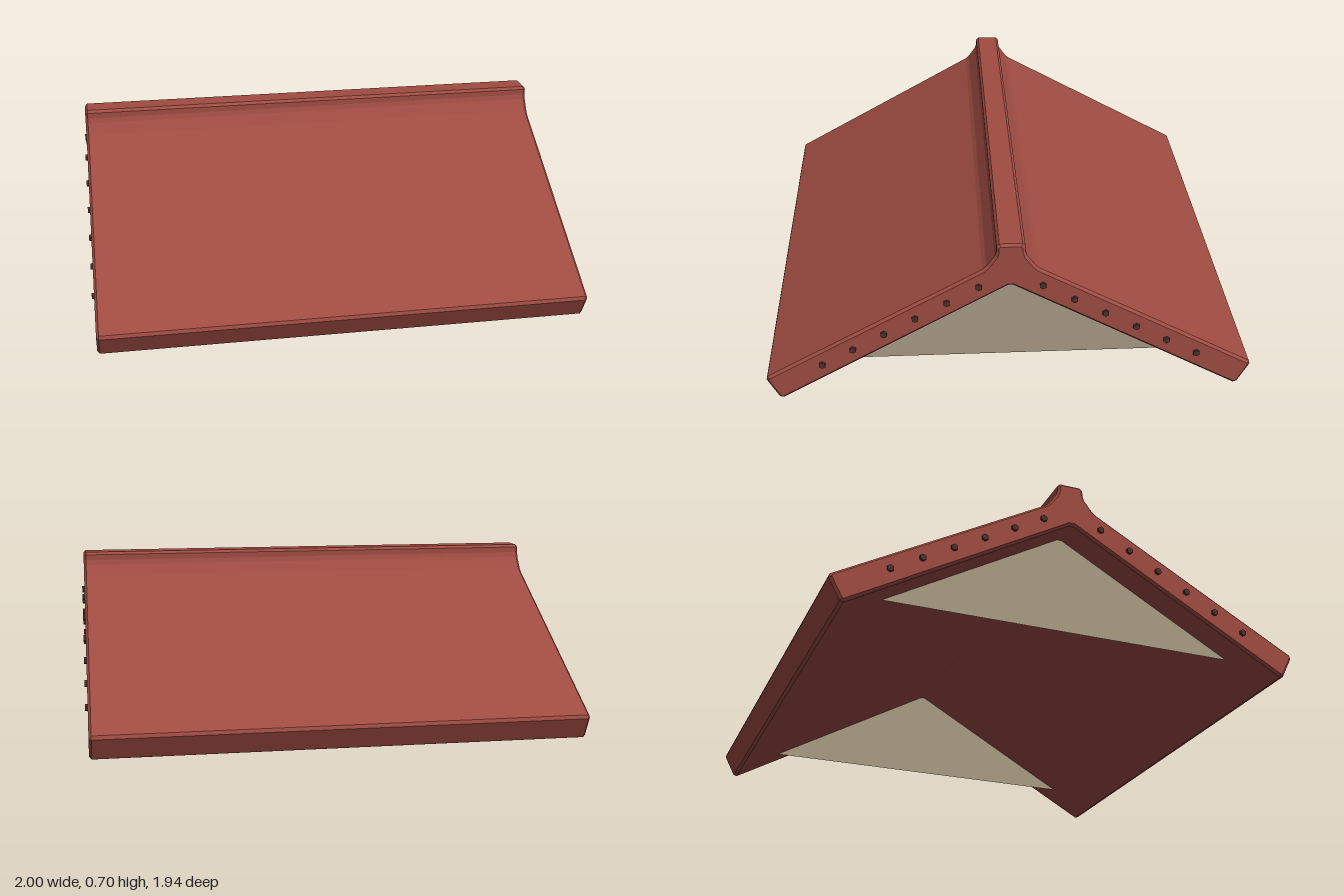
import * as THREE from 'three';

const material = (color, extra = {}) => new THREE.MeshStandardMaterial({ color, ...extra });

// Closed shape whose corners are cut back by d
function chamferedShape(corners, d) {
  const points = [];
  const n = corners.length;
  corners.forEach((c, i) => {
    for (const other of [corners[(i + n - 1) % n], corners[(i + 1) % n]]) {
      points.push(other.clone().sub(c).setLength(d).add(c));
    }
  });
  return new THREE.Shape(points);
}

export function createModel() {
  const group = new THREE.Group();
  group.name = 'gableRoof';
  const roofMat = material(0xa04c42, { flatShading: true });
  const gableMat = material(0xa89c84, { side: THREE.DoubleSide });
  const pegMat = material(0x4a322b, { flatShading: true });

  // Roof slab: one chevron profile with a raised ridge cap, run along x
  const half = [[0.055, 0.7], [0.055, 0.655], [0.1, 0.592], [0.975, 0.103], [0.919, -0.003]]
    .map(([z, y]) => new THREE.Vector2(z, y));
  const mirrored = half.map(p => new THREE.Vector2(-p.x, p.y)).reverse();
  const corners = [...half, new THREE.Vector2(0, 0.518), ...mirrored];
  const bevel = 0.01;
  const roofGeo = new THREE.ExtrudeGeometry(chamferedShape(corners, 0.011), {
    depth: 1.98 - 2 * bevel,
    bevelEnabled: true,
    bevelThickness: bevel,
    bevelSize: bevel,
    bevelOffset: -bevel,
    bevelSegments: 1,
  });
  roofGeo.translate(0, 0, -0.99 + bevel).rotateY(Math.PI / 2);
  const roof = new THREE.Mesh(roofGeo, roofMat);
  roof.name = 'roofSlab';
  group.add(roof);

  // Thin gable walls set in from both ends
  const gableGeo = new THREE.ShapeGeometry(new THREE.Shape([
    new THREE.Vector2(-0.755, 0.1),
    new THREE.Vector2(0.755, 0.1),
    new THREE.Vector2(0, 0.525),
  ]));
  const pegGeo = new THREE.CylinderGeometry(0.014, 0.014, 0.03, 6).rotateZ(Math.PI / 2);

  for (const end of [-1, 1]) {
    const gable = new THREE.Mesh(gableGeo, gableMat);
    gable.name = end > 0 ? 'leftGable' : 'rightGable';
    gable.position.x = end * 0.865;
    gable.rotation.y = end * Math.PI / 2;
    group.add(gable);

    // Row of pegs along each sloping end board
    for (const side of [-1, 1]) {
      for (let i = 0; i < 6; i++) {
        const peg = new THREE.Mesh(pegGeo, pegMat);
        peg.name = 'peg';
        peg.position.set(end * 0.985, 0.514 - i * 0.0695, side * (0.124 + i * 0.124));
        peg.rotation.x = side * Math.PI / 6;
        group.add(peg);
      }
    }
  }
  return group;
}
